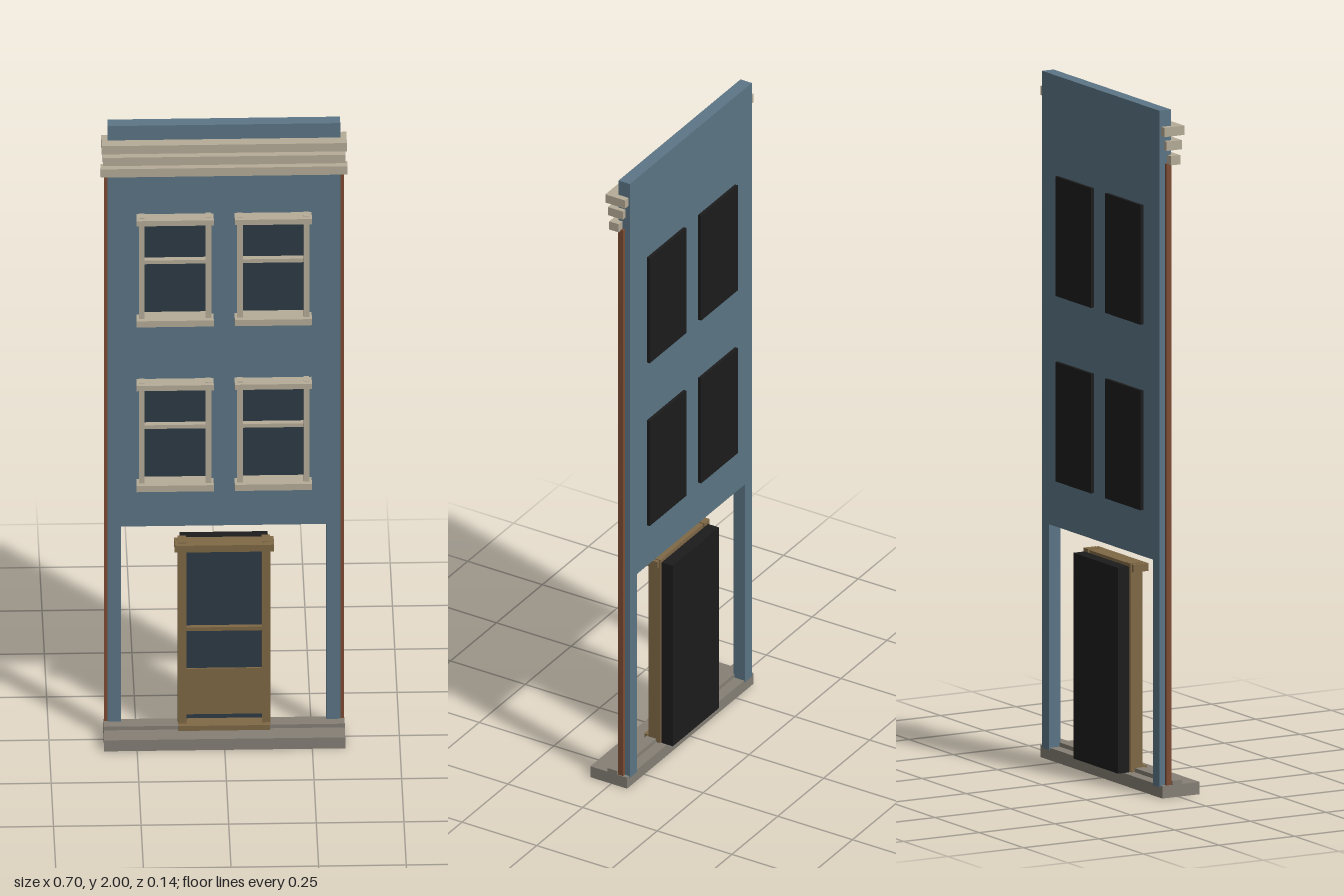
import * as THREE from 'three';

const mat = (name, color) => {
  const m = new THREE.MeshStandardMaterial({ color });
  m.name = name;
  return m;
};

export function createModel() {
  const model = new THREE.Group();
  model.name = 'townhouseFacade';

  const wallBlue = mat('wallBlue', 0x5b7585);
  const trim = mat('trimCream', 0xb5ab97);
  const stone = mat('stoneGrey', 0x857f75);
  const wood = mat('doorWood', 0x7f6846);
  const glass = mat('glassDark', 0x2d3a46);
  const black = mat('backingBlack', 0x1c1c1c);
  const brick = mat('brickBrown', 0x7d4c34);

  // Box given by its limits on each axis
  const box = (parent, name, material, x0, x1, y0, y1, z0, z1) => {
    const mesh = new THREE.Mesh(new THREE.BoxGeometry(x1 - x0, y1 - y0, z1 - z0), material);
    mesh.position.set((x0 + x1) / 2, (y0 + y1) / 2, (z0 + z1) / 2);
    mesh.name = name;
    parent.add(mesh);
  };

  const wallBack = -0.055, wallFront = -0.017;
  const windowXs = [-0.14, 0.14];
  const windowYs = [0.825, 1.365];
  const windowHeight = 0.345;

  // Wall with a shopfront opening and four window holes
  const outline = new THREE.Shape();
  [[-0.332, 0.03], [-0.294, 0.03], [-0.294, 0.687], [0.292, 0.687], [0.292, 0.03],
    [0.332, 0.03], [0.332, 2], [-0.332, 2]].forEach(([x, y], i) =>
    i ? outline.lineTo(x, y) : outline.moveTo(x, y));
  for (const x of windowXs) for (const y of windowYs) {
    const hole = new THREE.Path();
    hole.moveTo(x - 0.09, y + 0.01);
    hole.lineTo(x - 0.09, y + windowHeight - 0.01);
    hole.lineTo(x + 0.09, y + windowHeight - 0.01);
    hole.lineTo(x + 0.09, y + 0.01);
    outline.holes.push(hole);
  }
  const wall = new THREE.Mesh(
    new THREE.ExtrudeGeometry(outline, { depth: wallFront - wallBack, bevelEnabled: false }), wallBlue);
  wall.position.z = wallBack;
  wall.name = 'wall';
  model.add(wall);

  // Thin brick strips on the two side edges
  for (const s of [-1, 1]) {
    const x = s * 0.337;
    box(model, 'brickEdge', brick, x - 0.005, x + 0.005, 0.035, 1.845, -0.038, -0.021);
  }

  // Stone base
  box(model, 'baseSlab', stone, -0.344, 0.344, 0, 0.036, -0.053, 0.07);
  box(model, 'baseStep', stone, -0.344, 0.344, 0.036, 0.048, -0.02, 0.012);

  // Cornice bands
  [[1.842, 0.352, -0.03, 0.002], [1.884, 0.346, -0.04, 0.01], [1.926, 0.35, -0.05, 0.016]]
    .forEach(([y, w, z0, z1]) => box(model, 'corniceBand', trim, -w, w, y, y + 0.027, z0, z1));

  // Windows
  for (const x of windowXs) for (const y of windowYs) {
    const win = new THREE.Group();
    win.name = 'window';
    win.position.set(x, y, 0);
    model.add(win);
    const h = windowHeight;
    box(win, 'windowSill', trim, -0.11, 0.11, -0.003, 0.017, -0.03, 0.024);
    box(win, 'windowHead', trim, -0.11, 0.11, h - 0.017, h, -0.03, 0.024);
    for (const s of [-1, 1]) {
      const c = s * 0.095;
      box(win, 'windowJamb', trim, c - 0.008, c + 0.008, 0, h + 0.002, -0.03, 0.01);
    }
    box(win, 'windowRail', trim, -0.09, 0.09, h / 2 + 0.011, h / 2 + 0.023, -0.031, -0.012);
    box(win, 'windowGlass', glass, -0.09, 0.09, 0.01, h - 0.01, -0.036, -0.03);
    box(win, 'windowBacking', black, -0.1, 0.1, -0.003, h, -0.065, wallBack);
  }

  // Door
  const door = new THREE.Group();
  door.name = 'door';
  model.add(door);
  for (const s of [-1, 1]) {
    const c = s * 0.12;
    box(door, 'doorJamb', wood, c - 0.012, c + 0.012, 0.04, 0.645, -0.035, 0.005);
  }
  box(door, 'doorHead', wood, -0.142, 0.142, 0.62, 0.642, -0.03, 0.02);
  box(door, 'doorThreshold', wood, -0.13, 0.13, 0.036, 0.052, -0.03, 0.021);
  box(door, 'doorLowerPanel', wood, -0.108, 0.108, 0.066, 0.215, -0.035, -0.022);
  box(door, 'doorKick', glass, -0.108, 0.108, 0.05, 0.066, -0.035, -0.024);
  box(door, 'doorGlass', glass, -0.108, 0.108, 0.215, 0.622, -0.035, -0.027);
  box(door, 'doorRail', wood, -0.108, 0.108, 0.343, 0.355, -0.03, -0.014);
  box(door, 'doorBacking', black, -0.126, 0.126, 0.036, 0.635, -0.072, -0.035);

  return model;
}
